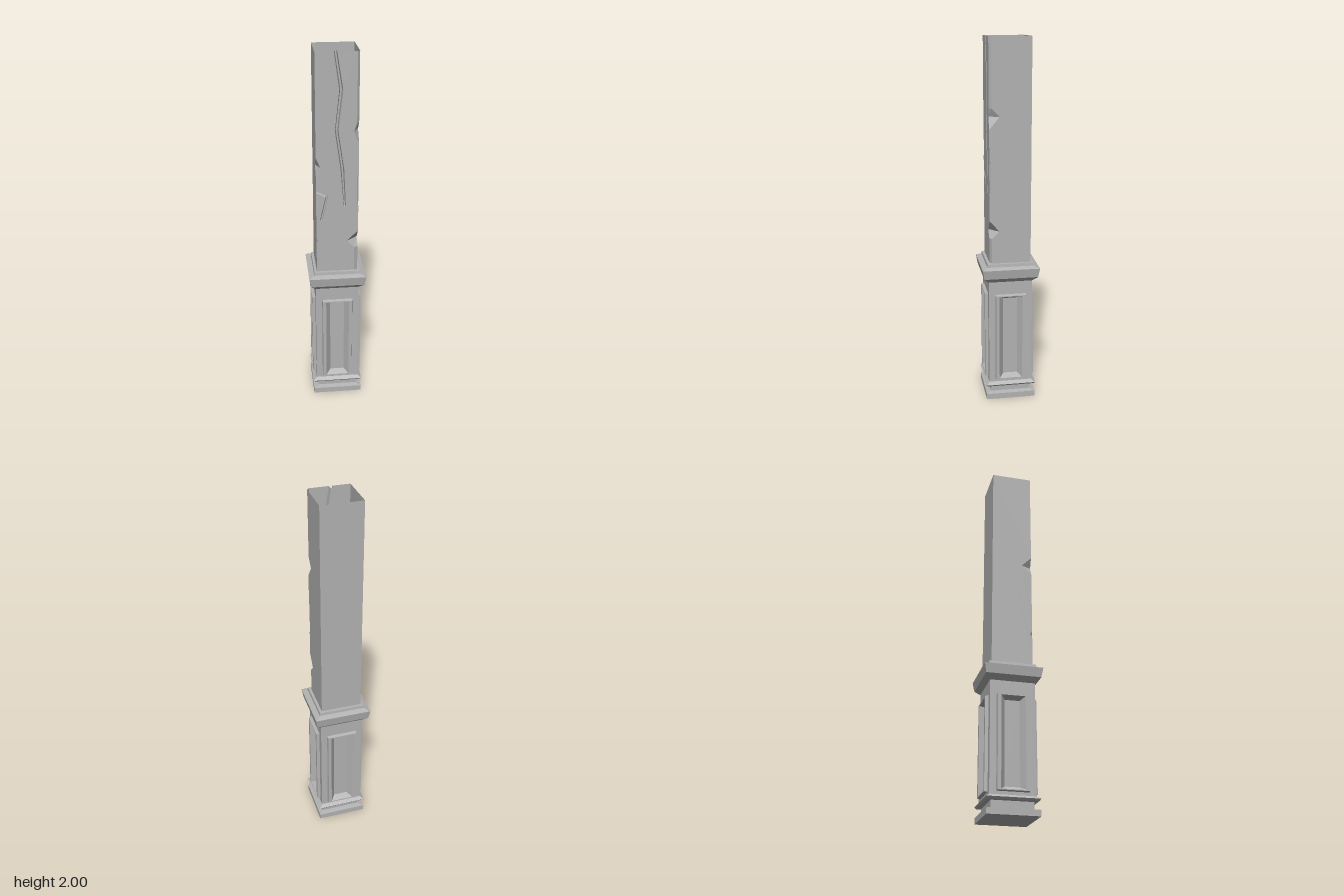
import * as THREE from 'three';

const stone = new THREE.MeshStandardMaterial({ color: 0xb2b2b2, side: THREE.DoubleSide, flatShading: true });
stone.name = 'grey stone';

const H = 0.112;   // half width of the shaft
const Y0 = 0.8;    // foot of the shaft
const TOP = 2;

function add(parent, name, geometry) {
  const mesh = new THREE.Mesh(geometry, stone);
  mesh.name = name;
  parent.add(mesh);
  return mesh;
}

// Square moulding: [half width, height] profile turned in four steps
function squareMoulding(profile) {
  const pts = profile.map(([r, y]) => new THREE.Vector2(r * Math.SQRT2, y));
  const g = new THREE.LatheGeometry(pts, 4, Math.PI / 4).toNonIndexed();
  g.computeVertexNormals();
  return g;
}

// Quads given as four corners, counter-clockwise from outside
function quadGeometry(quads) {
  const pos = [];
  for (const [a, b, c, d] of quads) pos.push(...a, ...b, ...c, ...a, ...c, ...d);
  const g = new THREE.BufferGeometry();
  g.setAttribute('position', new THREE.Float32BufferAttribute(pos, 3));
  g.computeVertexNormals();
  return g;
}

const path = (pts) => pts.map(([x, y]) => new THREE.Vector2(x, y));

// One side of the pedestal: rectangular rings stepping over a raised frame into a recess
function panelGeometry() {
  const rings = [
    [0.12, 0.1, 0.695, 0.12], [0.085, 0.117, 0.622, 0.12], [0.082, 0.12, 0.617, 0.137],
    [0.064, 0.125, 0.612, 0.137], [0.039, 0.143, 0.595, 0.105],
  ].map(([w, a, b, z]) => [[-w, a, z], [w, a, z], [w, b, z], [-w, b, z]]);
  const quads = [rings[rings.length - 1]];
  for (let i = 0; i < rings.length - 1; i++) {
    for (let k = 0; k < 4; k++) {
      const n = (k + 1) % 4;
      quads.push([rings[i][k], rings[i][n], rings[i + 1][n], rings[i + 1][k]]);
    }
  }
  return quadGeometry(quads);
}

// Worn front corners: [height, cut along x, cut along z]
const leftWear = [
  [Y0, 0, 0], [0.955, 0, 0], [0.98, 0.008, 0.012], [1.005, 0, 0],
  [1.355, 0, 0], [1.405, 0.024, 0.055], [1.46, 0, 0], [TOP, 0, 0],
];
const rightWear = [
  [Y0, 0.02, 0.012], [0.94, 0.02, 0.012], [0.98, 0.06, 0.052], [1.04, 0, 0],
  [1.18, 0, 0], [1.19, 0.008, 0.006], [1.35, 0.008, 0.006], [1.365, 0, 0],
  [1.53, 0, 0], [1.595, 0.027, 0.055], [1.64, 0.012, 0.012], [TOP, 0.012, 0.012],
];

function wearGeometry(side, rows) {
  const quads = [];
  for (let i = 0; i < rows.length - 1; i++) {
    const [y, dx, dz] = rows[i];
    const [v, ex, ez] = rows[i + 1];
    if (dx + ex === 0) continue;
    const q = [
      [side * (H - dx), y, H], [side * H, y, H - dz],
      [side * H, v, H - ez], [side * (H - ex), v, H],
    ];
    quads.push(side > 0 ? q : q.reverse());
  }
  return quadGeometry(quads);
}

// Cracks: rows of [left x, left y, right x, right y] on the front face
const longCrack = [
  [-0.018, TOP, -0.001, TOP], [0.009, 1.81, 0.029, 1.81], [-0.013, 1.6, 0.005, 1.6],
  [0.017, 1.39, 0.036, 1.39], [0.035, 1.18, 0.046, 1.18],
];
const shortCrack = [
  [-0.11, 1.265, -0.11, 1.282], [-0.063, 1.238, -0.047, 1.252], [-0.092, 1.108, -0.078, 1.108],
];

function crackGeometry(rows, depth) {
  const quads = [];
  const sections = rows.map(([a, b, c, d]) => {
    const at = (t, z) => [a + (c - a) * t, b + (d - b) * t, z];
    return [at(0, H), at(0.4, H - depth), at(0.85, H - depth), at(1, H)];
  });
  for (let i = 0; i < sections.length - 1; i++) {
    const s = sections[i], t = sections[i + 1];
    for (let k = 0; k < 3; k++) quads.push([s[k], t[k], t[k + 1], s[k + 1]]);
  }
  quads.push([...sections[sections.length - 1]].reverse());
  return quadGeometry(quads);
}

function frontWall() {
  const outline = [
    ...rightWear.map(([y, dx]) => [H - dx, y]),
    ...longCrack.map((r) => [r[2], r[3]]),
    ...[...longCrack].reverse().map((r) => [r[0], r[1]]),
    ...[...leftWear].reverse().map(([y, dx]) => [dx - H, y]),
  ];
  const shape = new THREE.Shape(path(outline));
  shape.holes.push(new THREE.Path(path([
    ...shortCrack.map((r) => [r[0], r[1]]),
    ...[...shortCrack].reverse().map((r) => [r[2], r[3]]),
  ])));
  return new THREE.ShapeGeometry(shape).translate(0, 0, H);
}

function sideWall(side, rows) {
  const outline = [
    [-side * H, TOP], [-side * H, Y0],
    ...rows.map(([y, , dz]) => [H - dz, y]),
  ].map(([z, y], i) => [i < 2 ? side * H : -side * z, y]);
  return new THREE.ShapeGeometry(new THREE.Shape(path(outline)))
    .rotateY(side * Math.PI / 2).translate(side * H, 0, 0);
}

export function createModel() {
  const model = new THREE.Group();
  model.name = 'weatheredPillar';

  // Stepped foot
  add(model, 'base', squareMoulding([
    [0, 0], [0.137, 0], [0.137, 0.032], [0.11, 0.038], [0.11, 0.074],
    [0.131, 0.076], [0.139, 0.086], [0.128, 0.094], [0.12, 0.1],
  ]));

  // Panelled pedestal
  const pedestal = new THREE.Group();
  pedestal.name = 'pedestal';
  const panel = panelGeometry();
  for (let i = 0; i < 4; i++) add(pedestal, 'pedestalPanel', panel).rotation.y = i * Math.PI / 2;
  model.add(pedestal);

  // Flared collar
  add(model, 'collar', squareMoulding([
    [0.12, 0.695], [0.148, 0.722], [0.157, 0.773], [0.128, 0.783], [0.126, 0.8], [H, 0.801],
  ]));

  // Hollow shaft, open at the top
  const shaft = new THREE.Group();
  shaft.name = 'shaft';
  add(shaft, 'frontWall', frontWall());
  add(shaft, 'backWall', new THREE.PlaneGeometry(2 * H, TOP - Y0)
    .rotateY(Math.PI).translate(0, (TOP + Y0) / 2, -H));
  for (const [side, rows, label] of [[1, rightWear, 'left'], [-1, leftWear, 'right']]) {
    add(shaft, label + 'Wall', sideWall(side, rows));
    add(shaft, label + 'CornerWear', wearGeometry(side, rows));
  }
  add(shaft, 'longCrack', crackGeometry(longCrack, 0.032));
  add(shaft, 'shortCrack', crackGeometry(shortCrack, 0.01));
  model.add(shaft);

  return model;
}
